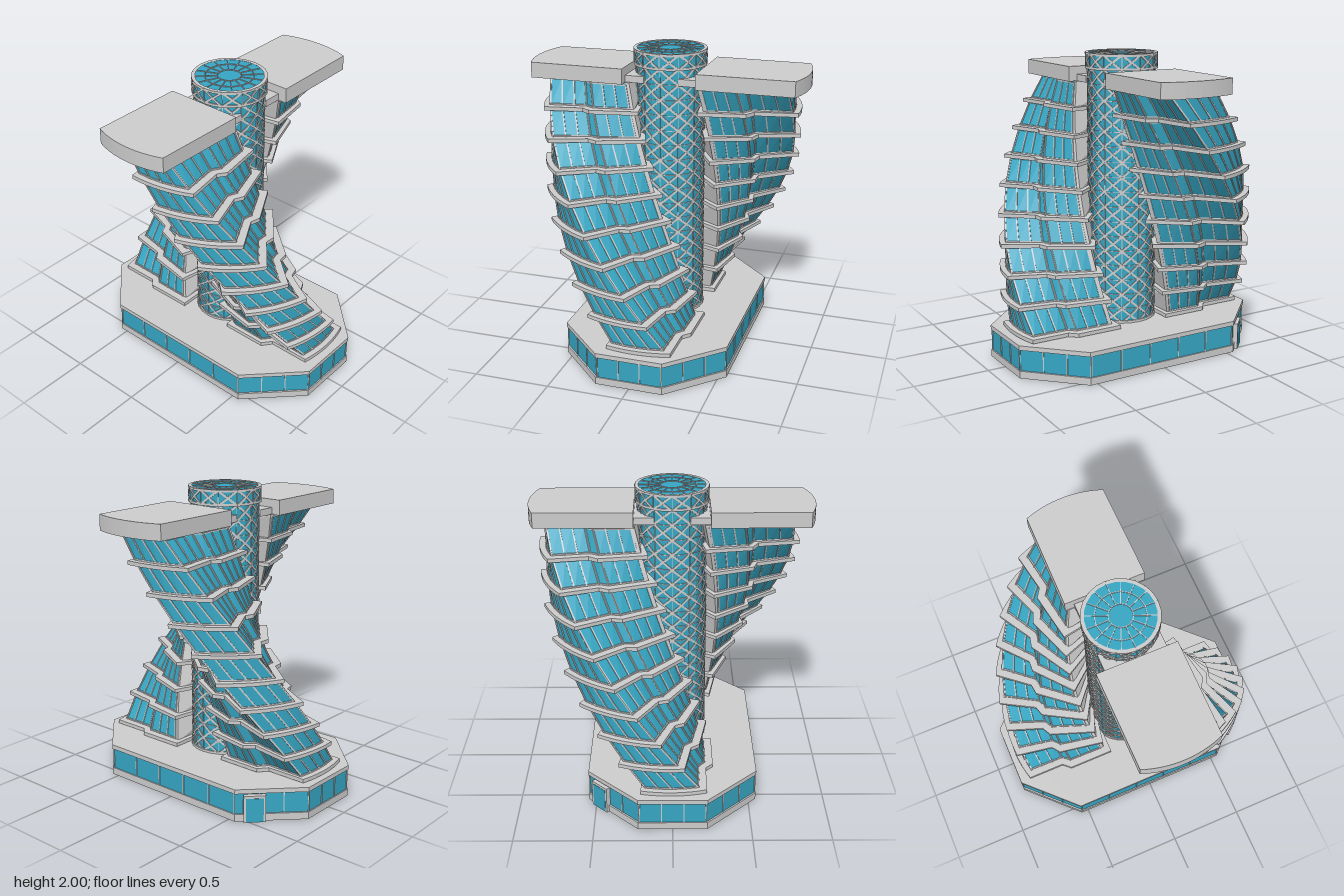
import * as THREE from 'three';
import { mergeGeometries } from 'three/addons/utils/BufferGeometryUtils.js';

const grey = new THREE.MeshStandardMaterial({ color: 0xcccccc, flatShading: true });
const glass = new THREE.MeshStandardMaterial({ color: 0x36a5c2, flatShading: true });
const wallGrey = new THREE.MeshStandardMaterial({ color: 0xcccccc, flatShading: true, side: THREE.DoubleSide });
const wallGlass = new THREE.MeshStandardMaterial({ color: 0x36a5c2, flatShading: true, side: THREE.DoubleSide });
const V = (x, y, z) => new THREE.Vector3(x, y, z);

const FLOORS = 9, BASE = 0.235, STEP = 0.174, TURN = Math.PI / 18;

function add(parent, name, geometry, material) {
  const mesh = new THREE.Mesh(geometry, material);
  mesh.name = name;
  parent.add(mesh);
  return mesh;
}

// Rectangular bar from p to q, its depth along the outward direction
function bar(p, q, outward, width, depth) {
  const dir = q.clone().sub(p);
  const length = dir.length();
  dir.normalize();
  const side = dir.clone().cross(outward).normalize();
  const out = side.clone().cross(dir);
  const g = new THREE.BoxGeometry(width, length, depth);
  g.applyMatrix4(new THREE.Matrix4().makeBasis(side, dir, out));
  const m = p.clone().add(q).multiplyScalar(0.5);
  return g.translate(m.x, m.y, m.z);
}

// Horizontal plate from an [x, z] outline, optionally with a hole wound the other way
function plate(outline, y0, y1, hole) {
  const points = list => list.map(([x, z]) => new THREE.Vector2(x, z));
  const shape = new THREE.Shape(points(outline));
  if (hole) shape.holes.push(new THREE.Path(points(hole)));
  const g = new THREE.ExtrudeGeometry(shape, { depth: y1 - y0, bevelEnabled: false });
  return g.rotateX(Math.PI / 2).translate(0, y1, 0);
}

// Points on an arc centred at z = cz, from x = xa to x = xb at the +z end
function arc(radius, xa, xb, n, cz = 0) {
  const a = Math.asin(xa / radius), b = Math.asin(xb / radius);
  return Array.from({ length: n + 1 }, (_, i) => {
    const t = a + (b - a) * i / n;
    return [radius * Math.sin(t), cz + radius * Math.cos(t)];
  });
}

// Splits the long sides of an outline into three window panels
function panels(outline) {
  return outline.flatMap((a, i) => {
    const b = outline[i + 1];
    if (!b || Math.hypot(b[0] - a[0], b[1] - a[1]) < 0.16) return [a];
    return [0, 1 / 3, 2 / 3].map(t => [a[0] + (b[0] - a[0]) * t, a[1] + (b[1] - a[1]) * t]);
  });
}

const slabOutline = [[0.28, 0.185], [0.28, 0.5], [0.233, 0.55], ...arc(0.835, 0.233, -0.187, 8),
  [-0.187, 0.54], [-0.25, 0.49], [-0.25, 0.185]];
const glassOutline = panels([[0.23, 0.245], [0.23, 0.48], [0.19, 0.53], ...arc(0.793, 0.19, -0.147, 4),
  [-0.147, 0.52], [-0.21, 0.47], [-0.21, 0.245]]);
const coreOutline = [[-0.21, 0.245], [-0.21, 0.22], [0.23, 0.22], [0.23, 0.245]];

// Point of the twisting wing: outline point at a storey, t from its floor to its ceiling
function twist([x, z], floor, t) {
  const at = f => V(x * Math.cos(f * TURN) - z * Math.sin(f * TURN), BASE + STEP * f,
    x * Math.sin(f * TURN) + z * Math.cos(f * TURN));
  return at(floor).lerp(at(floor + 1), t);
}

// Walls of all storeys along an outline
function walls(outline) {
  const pos = [];
  for (let f = 0; f < FLOORS; f++) {
    for (let i = 0; i < outline.length - 1; i++) {
      const [a0, a1, b0, b1] = [twist(outline[i], f, 0), twist(outline[i], f, 1),
        twist(outline[i + 1], f, 0), twist(outline[i + 1], f, 1)];
      for (const p of [a0, a1, b0, b0, a1, b1]) pos.push(p.x, p.y, p.z);
    }
  }
  const g = new THREE.BufferGeometry();
  g.setAttribute('position', new THREE.Float32BufferAttribute(pos, 3));
  g.computeVertexNormals();
  return g;
}

// Window frames: leaning mullions plus sill and head rails
function wingFrames() {
  const bars = [];
  for (let f = 0; f < FLOORS; f++) {
    for (let i = 0; i < glassOutline.length - 1; i++) {
      const a = glassOutline[i], b = glassOutline[i + 1];
      const out = V(b[1] - a[1], 0, a[0] - b[0]).normalize().applyAxisAngle(V(0, 1, 0), -(f + 0.5) * TURN);
      for (const p of [a, b]) bars.push(bar(twist(p, f, 0.06), twist(p, f, 0.94), out, 0.009, 0.012));
      for (const t of [0.1, 0.91]) bars.push(bar(twist(a, f, t), twist(b, f, t), out, 0.009, 0.012));
    }
  }
  return mergeGeometries(bars);
}

function wing() {
  const g = new THREE.Group();
  add(g, 'wingGlass', walls(glassOutline), wallGlass);
  add(g, 'wingInnerWall', walls(coreOutline), wallGrey);
  add(g, 'windowFrames', wingFrames(), grey);
  for (let f = 0; f < FLOORS; f++) {
    const y = BASE + STEP * f;
    add(g, 'floorSlab', plate(slabOutline, y - 0.0125, y + 0.0125), grey).rotation.y = -f * TURN;
  }
  // Ceiling closing the top storey
  const ceiling = plate([...glassOutline, coreOutline[1], coreOutline[2]], 1.785, 1.8);
  add(g, 'wingCeiling', ceiling, grey).rotation.y = -FLOORS * TURN;
  return g;
}

// Octagonal podium, open underneath, with a band of windows and one entrance
function podium() {
  const g = new THREE.Group();
  g.name = 'podium';
  const oct = s => [[0.22, 0.88], [0.55, 0.55], [0.55, -0.55], [0.22, -0.88], [-0.22, -0.88],
    [-0.55, -0.55], [-0.55, 0.55], [-0.22, 0.88]].map(([x, z]) => [x - Math.sign(x) * s, z - Math.sign(z) * s]);
  const inside = oct(0.018).reverse();
  add(g, 'podiumBase', plate(oct(0), 0, 0.048, inside), grey);
  add(g, 'podiumGlass', plate(oct(0.008), 0.048, 0.188, inside), glass);
  add(g, 'podiumRoof', plate(oct(0), 0.188, 0.218), grey);
  const bars = [], o = oct(0.009);
  o.forEach((a, i) => {
    const b = o[(i + 1) % 8];
    const n = Math.hypot(b[0] - a[0], b[1] - a[1]) > 0.8 ? 5 : 3;
    const out = V(b[1] - a[1], 0, a[0] - b[0]).normalize();
    for (let k = 0; k <= n; k++) {
      const x = a[0] + (b[0] - a[0]) * k / n, z = a[1] + (b[1] - a[1]) * k / n;
      bars.push(bar(V(x, 0.04, z), V(x, 0.195, z), out, 0.007, 0.012));
    }
  });
  add(g, 'podiumFrames', mergeGeometries(bars), grey);

  const door = new THREE.Group();
  door.name = 'entrance';
  add(door, 'doorFrame', new THREE.BoxGeometry(0.14, 0.18, 0.04), grey).position.y = 0.09;
  add(door, 'doorGlass', new THREE.BoxGeometry(0.112, 0.16, 0.044), glass).position.y = 0.083;
  door.position.set(0.462, 0, -0.638);
  door.rotation.y = Math.PI * 0.75;
  g.add(door);
  return g;
}

// Round glass shaft with a diagonal lattice and a slightly wider top drum
function shaft() {
  const g = new THREE.Group();
  g.name = 'centralShaft';
  const y0 = 0.218, neck = 1.9, top = 1.995, rows = 17, sides = 24;
  const tube = (name, r, a, b) =>
    add(g, name, new THREE.CylinderGeometry(r, r, b - a, sides), glass).position.y = (a + b) / 2;
  tube('shaftGlass', 0.22, y0, neck);
  tube('drumGlass', 0.231, neck, top);
  const at = (r, turn, y) => V(r * Math.sin(turn * 2 * Math.PI), y, r * Math.cos(turn * 2 * Math.PI));
  const lattice = [], rails = [], cap = [], up = V(0, 1, 0);
  for (let k = 0; k <= rows; k++) {
    const r = k < rows ? 0.223 : 0.235;
    const ya = y0 + (neck - y0) * k / rows, yb = k < rows ? ya + (neck - y0) / rows : top;
    const ym = (ya + yb) / 2;
    for (let c = 0; c < sides; c++) {
      const a = c / sides, b = (c + 1) / sides, out = at(1, (a + b) / 2, 0);
      // Each cross spans two sides and meets in the middle
      for (const y of [ya, yb])
        lattice.push(bar(at(r, a, c % 2 ? ym : y), at(r, b, c % 2 ? y : ym), out, 0.014, 0.006));
      rails.push(bar(at(r, a, yb), at(r, b, yb), out, 0.004, 0.007));
      if (c % 2 === 0) rails.push(bar(at(r, a, ya), at(r, a, yb), at(1, a, 0), 0.004, 0.006));
    }
  }
  for (let c = 0; c < 16; c++) {
    const a = c / 16, b = (c + 1) / 16;
    cap.push(bar(at(0.075, a, top), at(0.228, a, top), up, 0.005, 0.01));
    for (const r of [0.075, 0.155, 0.226]) cap.push(bar(at(r, a, top), at(r, b, top), up, 0.005, 0.01));
  }
  add(g, 'shaftLattice', mergeGeometries(lattice), grey);
  add(g, 'shaftRails', mergeGeometries(rails), grey);
  add(g, 'capFrames', mergeGeometries(cap), grey);
  for (const [r, y] of [[0.23, 0.226], [0.238, 1.904], [0.238, 1.992]]) {
    const profile = [[0.215, -0.008], [r, -0.008], [r, 0.008], [0.215, 0.008]];
    add(g, 'shaftRing', new THREE.LatheGeometry(profile.map(p => new THREE.Vector2(...p)), sides), grey).position.y = y;
  }
  return g;
}

export function createModel() {
  const model = new THREE.Group();
  model.name = 'twistedTower';
  model.add(podium(), shaft());

  // Two opposite wings, each a quarter turn from bottom to top
  const wings = new THREE.Group();
  wings.name = 'wings';
  const front = wing(), back = wing();
  front.name = 'frontWing';
  back.name = 'backWing';
  back.rotation.y = Math.PI;
  wings.add(front, back);
  wings.position.set(0.015, 0, -0.006);
  model.add(wings);

  // Roof canopies and the collars joining them to the shaft
  const roof = [[0.26, 0.24], ...arc(0.7, 0.255, -0.255, 14, 0.21), [-0.26, 0.24]];
  for (const s of [-1, 1]) {
    add(model, 'roofCanopy', plate(roof, 1.796, 1.896), grey).rotation.y = s * Math.PI / 2;
    add(model, 'roofCollar', new THREE.BoxGeometry(0.13, 0.045, 0.4), grey).position.set(s * 0.18, 1.82, 0);
  }
  return model;
}
